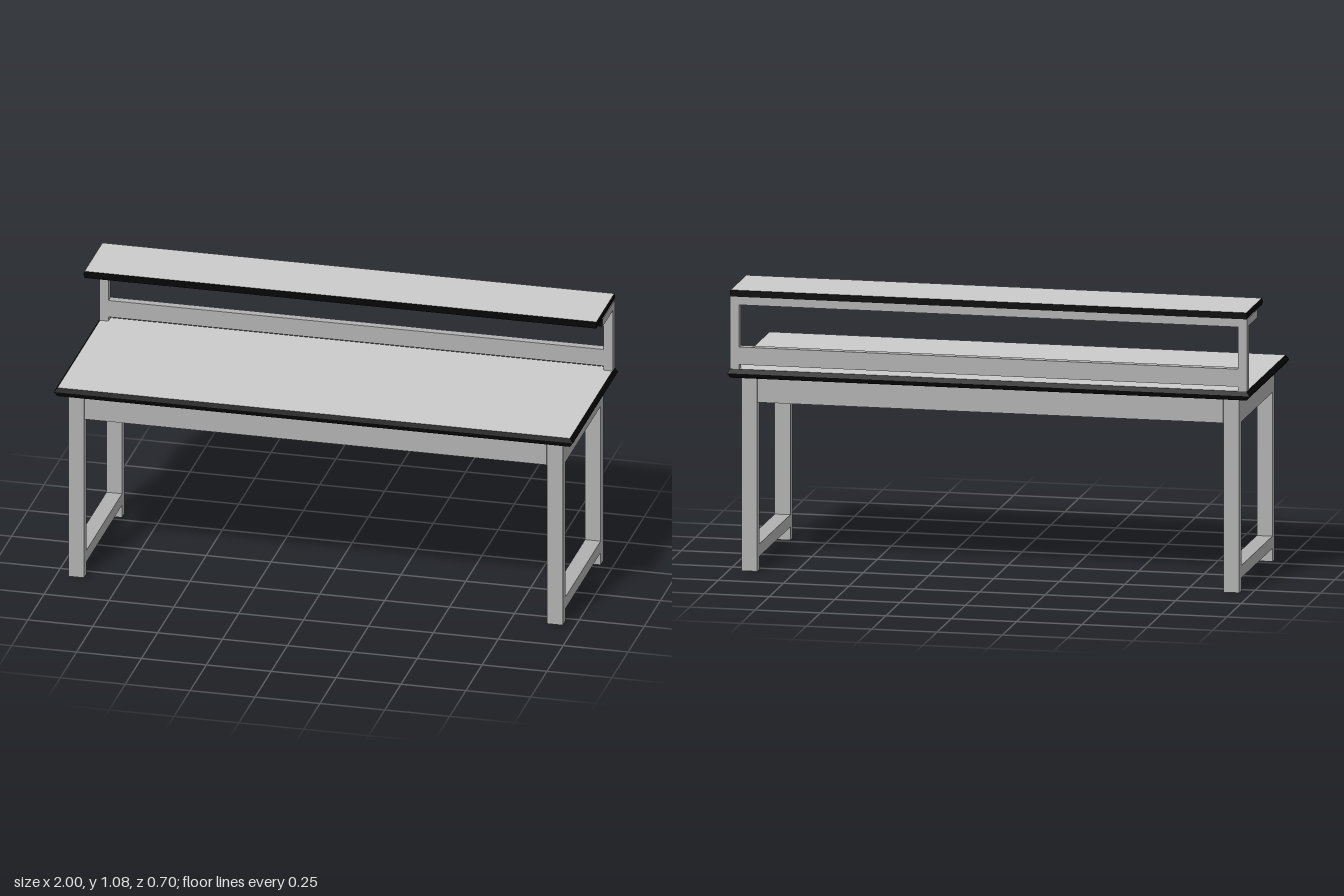
import * as THREE from 'three';

const grey = new THREE.MeshStandardMaterial({ color: 0xcccccc });
const frameGrey = new THREE.MeshStandardMaterial({ color: 0xb0b0b0 });
const black = new THREE.MeshStandardMaterial({ color: 0x050505 });

export function createModel() {
  const group = new THREE.Group();

  function add(name, geometry, material) {
    const mesh = new THREE.Mesh(geometry, material);
    mesh.name = name;
    group.add(mesh);
    return mesh;
  }

  // Box given by its [min, max] range on each axis
  function block(name, x, y, z, material = frameGrey) {
    const mesh = add(name, new THREE.BoxGeometry(x[1] - x[0], y[1] - y[0], z[1] - z[0]), material);
    mesh.position.set((x[0] + x[1]) / 2, (y[0] + y[1]) / 2, (z[0] + z[1]) / 2);
  }

  // Grey panel with a black edge band that swells outwards at mid height
  function bandedPanel(name, halfX, y, z, swellX, swellZ) {
    let geo = new THREE.BoxGeometry(2 * (halfX - swellX), y[1] - y[0], z[1] - z[0] - 2 * swellZ, 1, 2, 1);
    const pos = geo.attributes.position;
    for (let i = 0; i < pos.count; i++) {
      if (Math.abs(pos.getY(i)) > 1e-4) continue;
      pos.setX(i, pos.getX(i) + Math.sign(pos.getX(i)) * swellX);
      pos.setZ(i, pos.getZ(i) + Math.sign(pos.getZ(i)) * swellZ);
    }
    geo = geo.toNonIndexed();
    geo.computeVertexNormals();
    const mesh = add(name, geo, [black, black, grey, grey, black, black]);
    mesh.position.set(0, (y[0] + y[1]) / 2, (z[0] + z[1]) / 2);
  }

  // Apron of the given length whose inner face leans inwards towards the top
  function apron(name, length, outer, bottomInner, topInner, turn) {
    const profile = new THREE.Shape([
      new THREE.Vector2(bottomInner, 0.646),
      new THREE.Vector2(outer, 0.646),
      new THREE.Vector2(outer, 0.742),
      new THREE.Vector2(topInner, 0.742),
    ]);
    const geo = new THREE.ExtrudeGeometry(profile, { depth: length, bevelEnabled: false });
    geo.translate(0, 0, -length / 2);
    add(name, geo, frameGrey).rotation.y = turn;
  }

  // Desk top and raised shelf, with the shelf's black lip underneath
  bandedPanel('deskTop', 1, [0.743, 0.777], [-0.35, 0.35], 0.013, 0.005);
  bandedPanel('shelfTop', 0.99, [1.053, 1.078], [-0.345, -0.068], 0.004, 0);
  block('shelfLip', [-0.986, 0.986], [1.051, 1.054], [-0.083, -0.068], black);

  // Aprons under the top, flush with the legs
  apron('frontApron', 1.78, 0.314, 0.274, 0.232, -Math.PI / 2);
  apron('backApron', 1.78, 0.311, 0.271, 0.229, Math.PI / 2);
  apron('leftApron', 0.545, 0.952, 0.892, 0.825, 0);
  apron('rightApron', 0.545, 0.952, 0.892, 0.825, Math.PI);

  // End frames and shelf supports, mirrored left and right
  for (const [side, s] of [['left', 1], ['right', -1]]) {
    const span = (a, b) => (s > 0 ? [a, b] : [-b, -a]);
    const legX = span(0.892, 0.952);
    const postX = span(0.954, 0.989);
    block(side + 'FrontLeg', legX, [0, 0.743], [0.274, 0.314]);
    block(side + 'BackLeg', legX, [0, 0.743], [-0.311, -0.271]);
    block(side + 'Stretcher', legX, [0.05, 0.097], [-0.271, 0.274]);
    block(side + 'ShelfPost', postX, [0.777, 1.053], [-0.344, -0.31]);
    // The bracket's front end is black
    block(side + 'ShelfBracket', postX, [1.023, 1.053], [-0.31, -0.155],
      [frameGrey, frameGrey, frameGrey, frameGrey, black, frameGrey]);
  }

  // Rails joining the shelf posts
  block('lowerShelfRail', [-0.954, 0.954], [0.794, 0.861], [-0.344, -0.31]);
  block('upperShelfRail', [-0.954, 0.954], [1.022, 1.053], [-0.344, -0.31]);

  return group;
}
